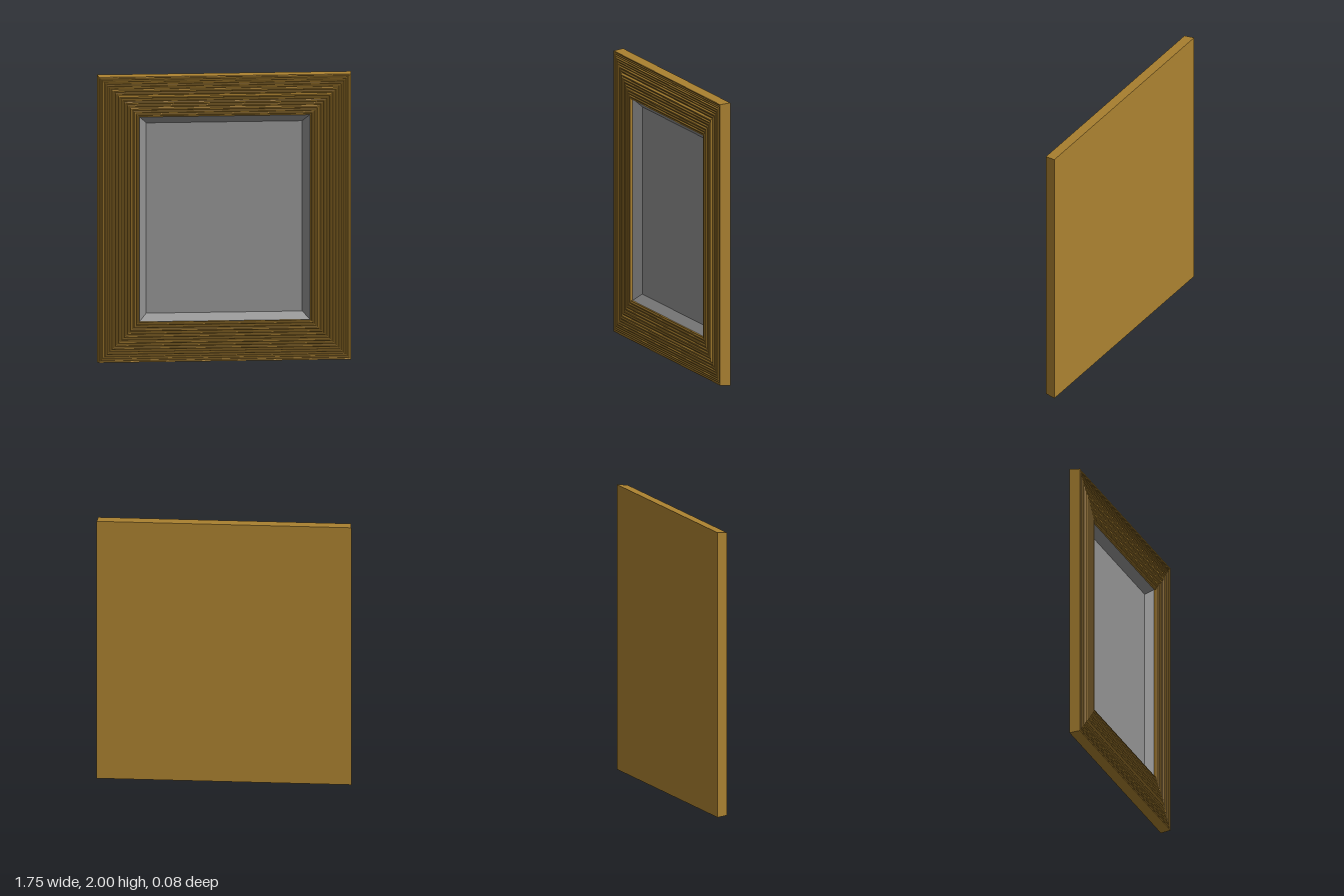
import * as THREE from 'three';

const HALF_W = 0.876, HALF_H = 1.0, BACK_Z = -0.041;

// Sweeps a profile of [inset, z] points around the rectangle with mitred corners
function mitredRing(profile) {
  const corner = (k, [inset, z]) => {
    const sx = [-1, 1, 1, -1][k % 4], sy = [-1, -1, 1, 1][k % 4];
    return [sx * (HALF_W - inset), sy * (HALF_H - inset), z];
  };
  const pos = [];
  for (let j = 0; j < profile.length - 1; j++) {
    for (let k = 0; k < 4; k++) {
      const a = corner(k, profile[j]), b = corner(k + 1, profile[j]);
      const c = corner(k + 1, profile[j + 1]), d = corner(k, profile[j + 1]);
      pos.push(...a, ...b, ...c, ...a, ...c, ...d);
    }
  }
  const geo = new THREE.BufferGeometry();
  geo.setAttribute('position', new THREE.Float32BufferAttribute(pos, 3));
  geo.computeVertexNormals();
  return geo;
}

// Moulding profile: tapered outer wall, then uneven ridges, then the inner lip
function mouldingProfile() {
  const pts = [[0, BACK_Z], [0.007, 0.033]];
  const widths = [0.012, 0.012, 0.014, 0.016, 0.018, 0.016, 0.022, 0.02,
    0.024, 0.018, 0.022, 0.02, 0.024, 0.018, 0.02];
  let x = 0.007;
  widths.forEach((w, i) => {
    const crest = i < 8 ? 0.034 : 0.041 - (i - 8) * 0.0008;
    const depth = 0.006 + (i % 3) * 0.0015;
    pts.push([x + w * 0.3, crest], [x + w * 0.65, crest - 0.001],
      [x + w * 0.85, crest - depth], [x + w, crest - depth]);
    x += w;
  });
  pts.push([0.287, 0.033], [0.287, 0.02]);
  return pts;
}

export function createModel() {
  const gold = new THREE.MeshStandardMaterial({ color: 0xac8230 });
  gold.name = 'gold';
  const grey = new THREE.MeshStandardMaterial({ color: 0x929292 });
  grey.name = 'grey';

  const group = new THREE.Group();
  group.name = 'pictureFrame';
  const add = (name, geo, mat, z = 0) => {
    const mesh = new THREE.Mesh(geo, mat);
    mesh.name = name;
    mesh.position.set(0, HALF_H, z);
    group.add(mesh);
    return mesh;
  };

  // Ridged frame and flat back
  add('moulding', mitredRing(mouldingProfile()), gold);
  add('back', new THREE.PlaneGeometry(HALF_W * 2, HALF_H * 2), gold, BACK_Z).rotation.y = Math.PI;

  // Sloped mount and recessed panel
  const inset = 0.338, panelZ = -0.03;
  add('mountBevel', mitredRing([[0.287, 0.02], [inset, panelZ]]), grey);
  add('picturePanel', new THREE.PlaneGeometry((HALF_W - inset) * 2, (HALF_H - inset) * 2), grey, panelZ);

  return group;
}
